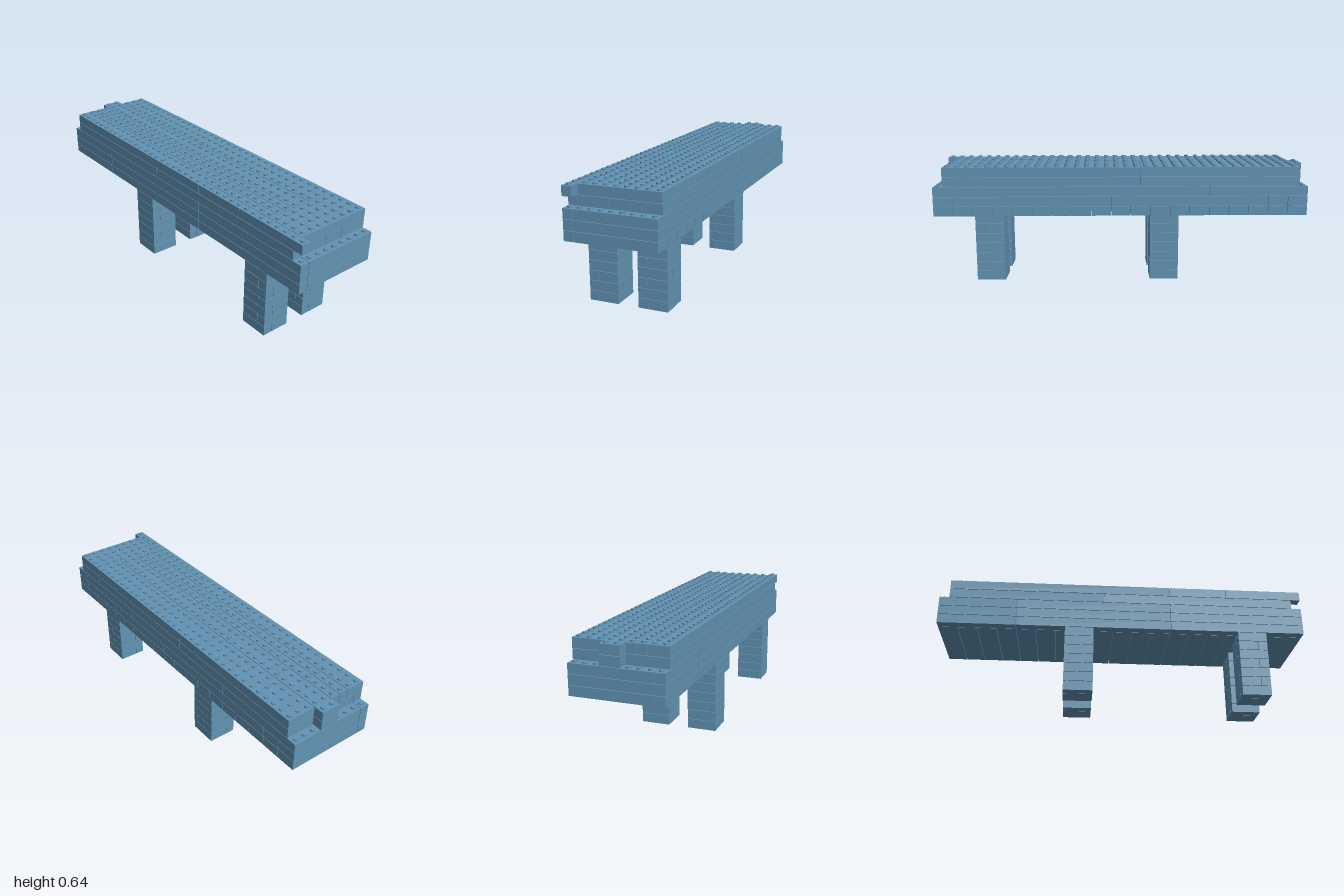
import * as THREE from 'three';
import { mergeGeometries } from 'three/addons/utils/BufferGeometryUtils.js';

const P = 2 / 38;      // grid pitch and brick height
const GAP = 0.0025;    // seam between bricks
const STUD_R = 0.0125, STUD_H = 0.0085;

// Brick covering grid cells x0..x1, z0..z1 on a given course
function brick([x0, x1, z0, z1], course) {
  const h = P - GAP;
  const g = new THREE.BoxGeometry((x1 - x0) * P - GAP, h, (z1 - z0) * P - GAP);
  return g.translate((x0 + x1) / 2 * P, course * P + h / 2, (z0 + z1) / 2 * P);
}

// Stud standing on a course, at a cell centre
function stud(x, z, course) {
  const g = new THREE.CylinderGeometry(STUD_R, STUD_R, STUD_H, 12);
  return g.translate(x * P, (course + 1) * P - GAP + STUD_H / 2, z * P);
}

// Split a strip along x at the given positions
const runX = (xs, z0, z1) => xs.slice(1).map((x, i) => [xs[i], x, z0, z1]);

export function createModel() {
  const model = new THREE.Group();
  const blue = new THREE.MeshStandardMaterial({ color: 0x6293b3 });
  blue.name = 'sand blue';
  const add = (name, geometries) => {
    const mesh = new THREE.Mesh(mergeGeometries(geometries), blue);
    mesh.name = name;
    model.add(mesh);
  };

  // Four legs, seven courses each, with alternating bond
  for (const [side, x] of [['right', -6], ['left', 12]]) {
    for (const [end, z] of [['front', 1.5], ['back', -3.5]]) {
      const parts = [];
      for (let c = 0; c < 7; c++) {
        const cells = c % 2 === 0
          ? [[x, x + 3, z, z + 2], [x, x + 3, z + 2, z + 3]]
          : x > 0 ? [[x, x + 2, z, z + 3], [x + 2, x + 3, z, z + 3]] : [[x, x + 3, z, z + 3]];
        cells.forEach(b => parts.push(brick(b, c)));
      }
      add(`${end} ${side} leg`, parts);
    }
  }

  // Lowest deck course: planks across, with a long front edge
  const planks = [];
  for (let x = -19; x <= 19; x += 2) planks.push(x);
  const courses = {
    7: [...runX(planks, -4.5, 3.5), ...runX([-19, -11, 5, 19], 3.5, 4.5)],
    8: [...runX([-19, -17, -15, 1, 17, 19], -4.5, 3.5), ...runX([-19, -11, 5, 19], 3.5, 4.5)],
    9: [...runX([-19, -9, 7, 17, 19], -4.5, 3.5), ...runX([-19, -11, 5, 19], 3.5, 4.5)],
    // Stepped courses with a tongue at the right end
    10: [...runX([-18, -2, 14, 18], -4.5, -1.5), ...runX([-19, -2, 14, 18], -1.5, 0.5),
      ...runX([-18, -2, 14, 18], 0.5, 3.5), ...runX([-18, -2, 18], 3.5, 4.5)],
    // Top course with one brick overhanging at the left front corner
    11: [...runX([-18, -2, 14], -4.5, -1.5), ...runX([-19, -2, 14], -1.5, 0.5),
      ...runX([-18, -2, 14], 0.5, 1.5), [14, 18, -4.5, 3.5], [-18, 14, 1.5, 2.5],
      [-18, 5, 2.5, 4.5], [5, 14, 2.5, 3.5], ...runX([5, 11, 19], 3.5, 4.5)],
  };
  for (const [c, cells] of Object.entries(courses)) {
    add(`deck course ${c - 6}`, cells.map(b => brick(b, +c)));
  }

  // Studs on the top and on the exposed end ledges
  const top = [], ledges = [];
  for (let z = -4; z <= 4; z++) {
    const tongue = z === -1 || z === 0;
    for (let x = -17.5; x < 18; x++) top.push(stud(x, z, 11));
    (tongue ? top : ledges).push(stud(-18.5, z, tongue ? 11 : 9));
    ledges.push(stud(18.5, z, 9));
  }
  top.push(stud(18.5, 4, 11));
  add('top studs', top);
  add('ledge studs', ledges);

  return model;
}
